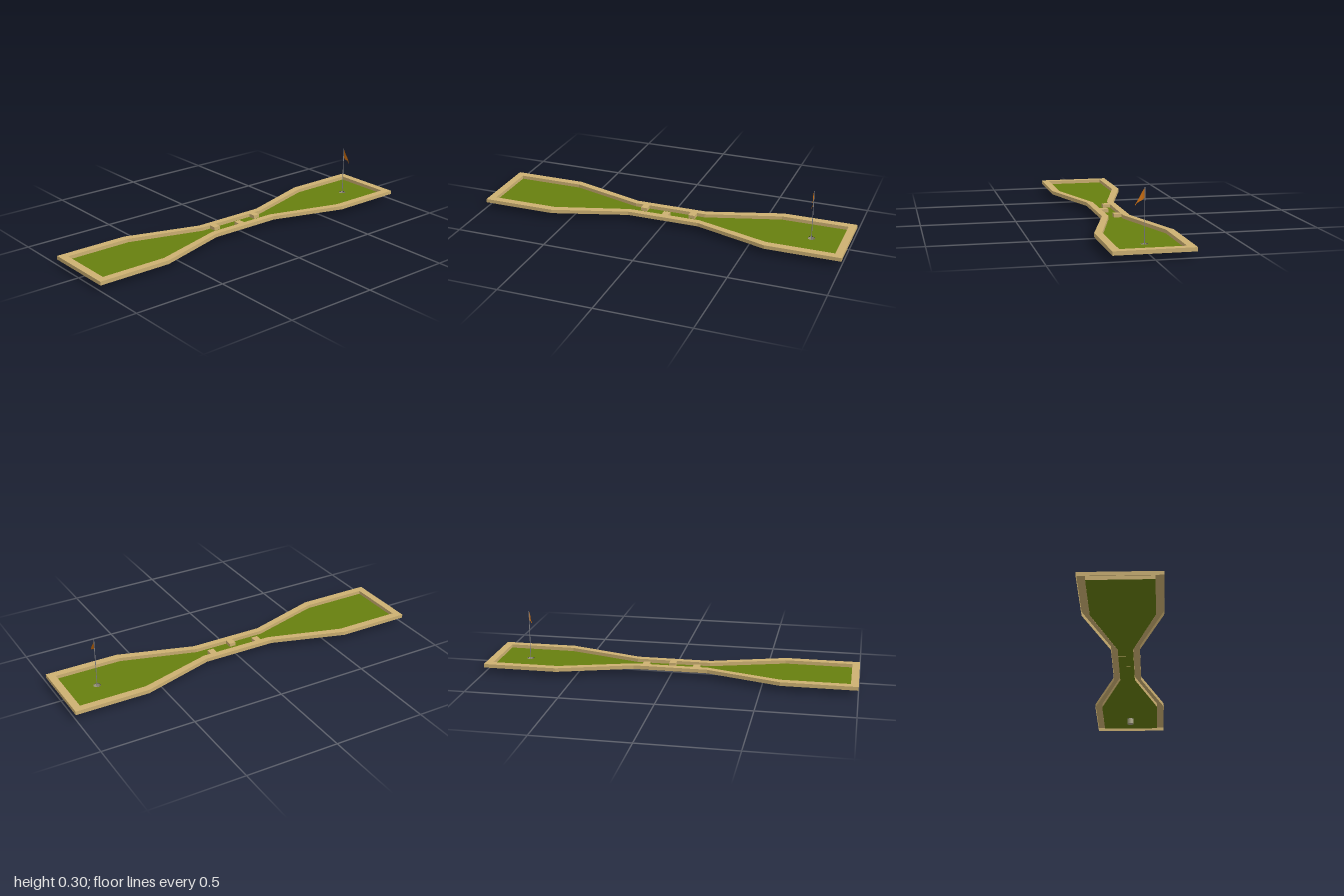
import * as THREE from 'three';

const mat = (name, color) => {
  const m = new THREE.MeshStandardMaterial({ color, side: THREE.DoubleSide });
  m.name = name;
  return m;
};

export function createModel() {
  const group = new THREE.Group();
  const wood = mat('tan wood', 0xcdb172);
  const grass = mat('grass green', 0x677f0f);
  const metal = mat('cup grey', 0xaaa585);
  const steel = mat('pole grey', 0x85858a);
  const orange = mat('flag orange', 0xc96c0c);

  const add = (name, geometry, material, x = 0, y = 0, z = 0) => {
    const mesh = new THREE.Mesh(geometry, material);
    mesh.name = name;
    mesh.position.set(x, y, z);
    group.add(mesh);
    return mesh;
  };

  const bottom = 0.03, top = 0.05, cupZ = -0.8;

  // Outlines as [x, z] loops; the inner one steps round the three obstacles
  const half = (w, n, end) => [[w, end], [w, 0.6], [n, 0.2], [n, -0.2], [w, -0.6], [w, -end]];
  const mirror = (pts) => pts.map(([x, z]) => [-x, z]).reverse();
  const bump = (s, z) => [[s * 0.04, z], [0, z]];
  const notch = (s, z0, z1) => [...bump(s, z0), ...bump(s, z1).reverse()];

  const rightOuter = half(0.2, 0.075, 1);
  const outer = [...rightOuter, ...mirror(rightOuter)];
  const rightInner = half(0.16, 0.04, 0.96);
  const leftInner = mirror(rightInner);
  const plain = [...rightInner, ...leftInner];
  const inner = [
    ...rightInner.slice(0, 3), ...notch(1, 0.018, -0.018), ...rightInner.slice(3),
    ...leftInner.slice(0, 3), ...notch(-1, -0.157, -0.121), ...notch(-1, 0.118, 0.154),
    ...leftInner.slice(3),
  ];

  const toVectors = (pts) => pts.map(([x, z]) => new THREE.Vector2(x, -z));
  const flat = (shape) => new THREE.ShapeGeometry(shape, 24).rotateX(-Math.PI / 2);

  // Upright band along a closed outline
  const band = (pts) => {
    const pos = [];
    pts.forEach(([ax, az], i) => {
      const [bx, bz] = pts[(i + 1) % pts.length];
      pos.push(ax, bottom, az, bx, bottom, bz, bx, top, bz);
      pos.push(ax, bottom, az, bx, top, bz, ax, top, az);
    });
    const g = new THREE.BufferGeometry();
    g.setAttribute('position', new THREE.Float32BufferAttribute(pos, 3));
    g.computeVertexNormals();
    return g;
  };

  // Border: hollow underneath, open at the bottom
  const rim = new THREE.Shape(toVectors(outer));
  rim.holes.push(new THREE.Path(toVectors(inner)));
  add('borderTop', flat(rim), wood, 0, top, 0);
  add('borderOuterSide', band(outer), wood);
  add('borderInnerSide', band([...inner].reverse()), wood);

  // Playing surface with a round hole
  const lawn = new THREE.Shape(toVectors(plain));
  lawn.holes.push(new THREE.Path().absarc(0, -cupZ, 0.019, 0, Math.PI * 2, true));
  add('playingSurface', flat(lawn), grass, 0, bottom + 0.001, 0);

  // Cup below the hole
  add('cupWall', new THREE.CylinderGeometry(0.019, 0.019, 0.03, 24, 1, true), metal, 0, 0.015, cupZ);
  add('cupFloor', new THREE.CircleGeometry(0.019, 24).rotateX(-Math.PI / 2), metal, 0, 0, cupZ);

  // Pole and rippled pennant
  add('flagPole', new THREE.CylinderGeometry(0.002, 0.002, 0.3, 8), steel, 0, 0.15, cupZ);
  const steps = 8;
  const flag = new THREE.PlaneGeometry(1, 1, steps, 1);
  const p = flag.attributes.position;
  for (let i = 0; i < p.count; i++) {
    const u = p.getX(i) + 0.5;
    const upper = 0.3 - 0.08 * u;
    const lower = 0.254 - 0.039 * u - 0.004 * Math.sin(u * Math.PI * 2);
    p.setXYZ(i, 0.047 * u, p.getY(i) > 0 ? upper : lower, 0.002 * Math.sin(u * Math.PI * 2));
  }
  flag.computeVertexNormals();
  add('flag', flag, orange, 0, 0, cupZ);

  return group;
}
